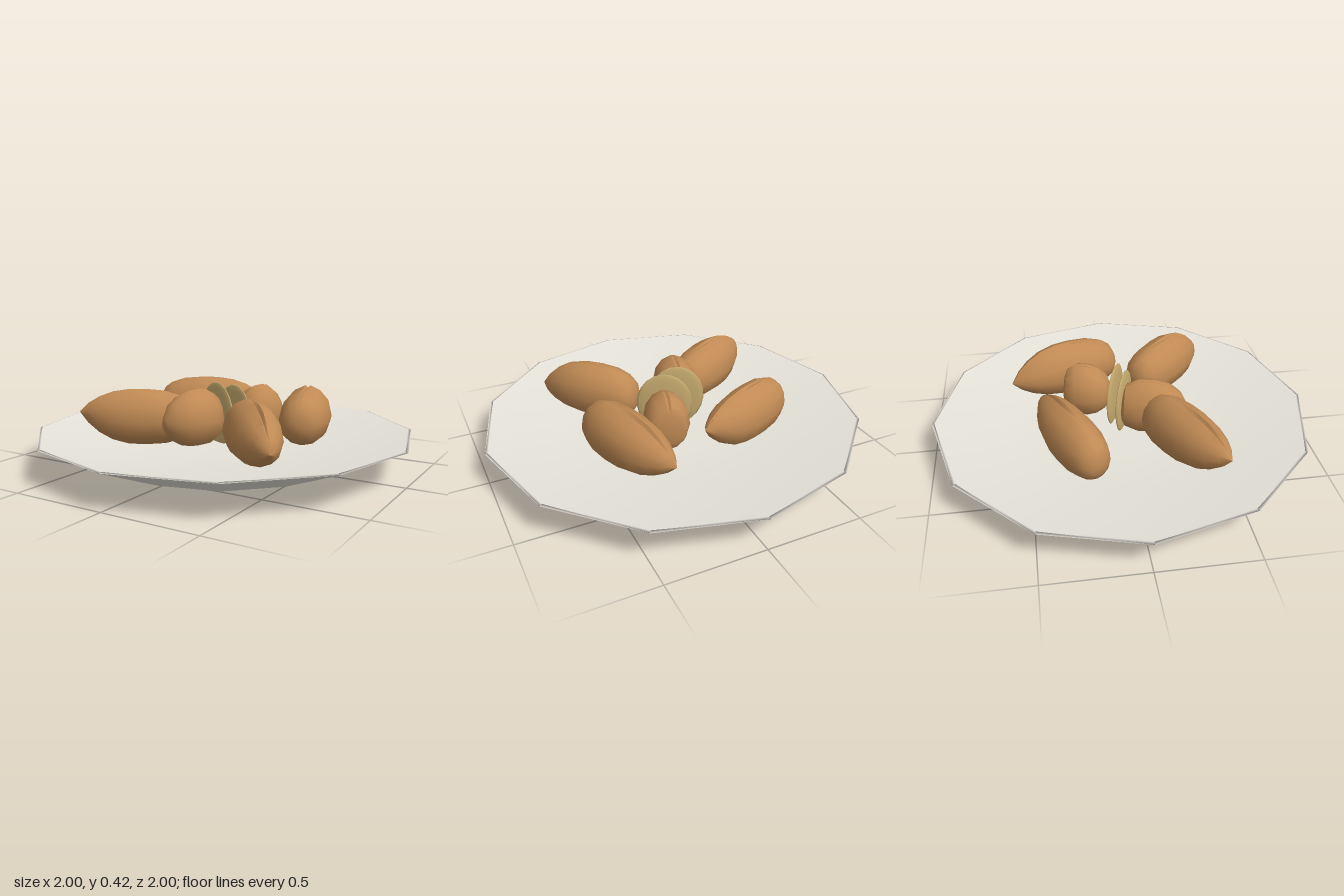
import * as THREE from 'three';
import { toCreasedNormals } from 'three/addons/utils/BufferGeometryUtils.js';

const material = (color) => new THREE.MeshStandardMaterial({ color, roughness: 0.8, side: THREE.DoubleSide });

// Cross-section angles in degrees; 90 is the slit, with a lip close to each side of it
const ANGLES = [0, 32, 60, 84, 90, 96, 122, 150, 180, 215, 245, 270, 295, 325];

// Stations along a fruit: [position -1..1, radius, slit depth]
const LONG = [[-1, 0.36, 0], [-0.93, 0.62, 0], [-0.8, 0.8, 0], [-0.55, 0.95, 0.01], [-0.2, 1, 0.03], [0.1, 0.98, 0.08],
  [0.4, 0.86, 0.1], [0.65, 0.64, 0.08], [0.85, 0.36, 0.03], [1, 0.03, 0]];
const SHORT = [[-1, 0.55, 0.04], [-0.9, 0.8, 0.06], [-0.5, 1, 0.05], [0, 1, 0.03], [0.4, 0.9, 0.01],
  [0.75, 0.65, 0], [1, 0.2, 0]];

// Rings lofted along x, closed at both ends; bow bends the fruit sideways, droop moves the tip in height
function fruitGeometry(stations, halfLength, width, bow, droop) {
  const n = ANGLES.length, last = stations.length - 1;
  const positions = [], index = [];
  for (const [t, r, slit] of stations) {
    const shiftZ = bow * (1 - t * t);
    const shiftY = droop * Math.max(t, 0) ** 2;
    for (const deg of ANGLES) {
      const a = THREE.MathUtils.degToRad(deg);
      const lip = Math.abs(deg - 90) === 6 ? 1 + slit * 0.3 : 1;
      const k = deg === 90 ? r - slit : r * lip;
      const height = deg > 180 ? 0.135 : 0.16;
      positions.push(t * halfLength, k * height * Math.sin(a) + shiftY, k * width * Math.cos(a) + shiftZ);
    }
  }
  positions.push(-halfLength * 1.02, 0, 0, halfLength, droop, 0);
  const blunt = n * stations.length, tip = blunt + 1;
  for (let j = 0; j < n; j++) {
    const k = (j + 1) % n;
    for (let i = 0; i < last; i++) {
      const a = i * n + j, b = a + n, c = i * n + k, d = c + n;
      index.push(a, b, c, b, d, c);
    }
    index.push(blunt, j, k, tip, last * n + k, last * n + j);
  }
  const geometry = new THREE.BufferGeometry();
  geometry.setAttribute('position', new THREE.Float32BufferAttribute(positions, 3));
  geometry.setIndex(index);
  return toCreasedNormals(geometry, 0.75);
}

export function createModel() {
  const model = new THREE.Group();

  // Twelve-sided shallow plate: underside with foot ring, rim, then the gently dished inner surface
  const profile = [[0, 0.025], [0.26, 0.025], [0.29, 0], [0.31, 0], [0.325, 0.01], [0.6, 0.01], [1, 0.17],
    [0.985, 0.174], [0.6, 0.11], [0.3, 0.1], [0, 0.097]];
  const plate = new THREE.Mesh(
    new THREE.LatheGeometry(profile.map(([x, y]) => new THREE.Vector2(x, y)), 12),
    material(0xe6e3da));
  plate.name = 'plate';
  model.add(plate);

  // Dried fruits, each placed from its blunt end to its tip in plan
  const brown = material(0xc08a54);
  const fruits = [
    { name: 'backRightFruit', from: [-0.54, -0.18], to: [0.01, -0.42], width: 0.12, bow: -0.005, droop: 0.05 },
    { name: 'backLeftFruit', from: [0.44, 0.01], to: [0.24, -0.57], width: 0.135, bow: 0.015, droop: 0 },
    { name: 'frontRightFruit', from: [-0.12, 0.14], to: [-0.63, 0.43], width: 0.13, bow: 0, droop: 0.04 },
    { name: 'frontLeftFruit', from: [0.16, 0.1], to: [0.55, 0.52], width: 0.13, bow: 0, droop: -0.015 },
    { name: 'frontFruitHalf', from: [-0.06, 0], to: [-0.15, 0.33], width: 0.122, bow: -0.01, droop: 0, short: true },
    { name: 'backFruitHalf', from: [0.14, -0.285], to: [0.08, -0.04], width: 0.118, bow: 0, droop: 0, short: true },
  ];
  for (const { name, from, to, width, bow, droop, short } of fruits) {
    const dx = to[0] - from[0], dz = to[1] - from[1];
    const fruit = new THREE.Mesh(
      fruitGeometry(short ? SHORT : LONG, Math.hypot(dx, dz) / 2, width, bow, droop), brown);
    fruit.name = name;
    fruit.position.set((from[0] + to[0]) / 2, 0.232, (from[1] + to[1]) / 2);
    fruit.rotation.y = Math.atan2(-dz, dx);
    model.add(fruit);
  }

  // Two thin oval seeds standing on edge in the middle
  const tan = material(0xc8ac70);
  [[-0.035, 0.25, 0.01, 0.06], [0.05, 0.24, -0.025, -0.06]].forEach(([x, y, z, lean], i) => {
    const seed = new THREE.Mesh(new THREE.SphereGeometry(1, 16, 10), tan);
    seed.name = i ? 'backSeed' : 'frontSeed';
    seed.scale.set(0.147, 0.172, 0.016);
    seed.position.set(x, y, z);
    seed.rotation.set(0, -0.42, lean);
    model.add(seed);
  });

  return model;
}
